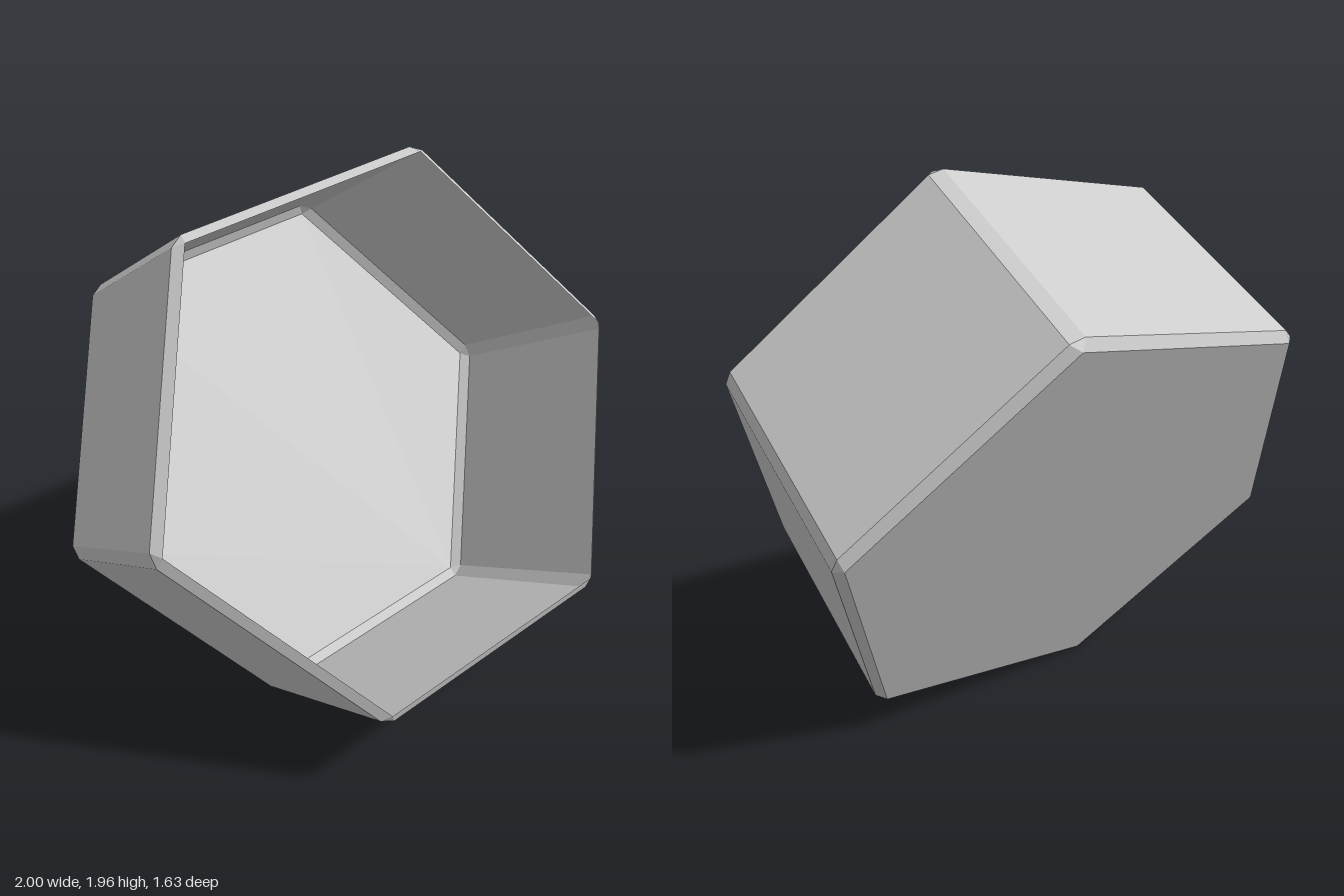
import * as THREE from 'three';

const R = 0.955; // hexagon corner radius
const H = 0.435; // half depth
const C = 0.03; // bevel width

// Flat-faced geometry from convex polygons
function polygonGeometry(polygons) {
  const points = [];
  for (const p of polygons) {
    for (let i = 1; i < p.length - 1; i++) points.push(p[0], p[i], p[i + 1]);
  }
  const geometry = new THREE.BufferGeometry().setFromPoints(points);
  geometry.computeVertexNormals();
  return geometry;
}

// Point given along and across the direction of corner i, at depth z
function cornerPoint(i, along, across, z) {
  const t = (i * Math.PI) / 3;
  return new THREE.Vector3(
    along * Math.cos(t) - across * Math.sin(t),
    along * Math.sin(t) + across * Math.cos(t),
    z
  );
}

export function createModel() {
  const grey = new THREE.MeshStandardMaterial({ color: 0xcccccc });
  grey.name = 'light grey';
  grey.side = THREE.DoubleSide;
  grey.flatShading = true;

  const capPoint = (i, s) => cornerPoint(i, R - C / Math.cos(Math.PI / 6), 0, s * H);
  const sidePoint = (i, side, s) =>
    cornerPoint(i, R - C / 2, side * C * Math.cos(Math.PI / 6), s * (H - C));

  const walls = [], corners = [], rim = [], floorBevel = [], floor = [];
  for (let i = 0; i < 6; i++) {
    const j = i + 1;
    // Wide wall panel and the narrow bevel at its corner
    walls.push([sidePoint(i, 1, -1), sidePoint(j, -1, -1), sidePoint(j, -1, 1), sidePoint(i, 1, 1)]);
    corners.push([sidePoint(i, -1, -1), sidePoint(i, 1, -1), sidePoint(i, 1, 1), sidePoint(i, -1, 1)]);
    // Sloping bevels with corner triangles at the open and closed ends
    rim.push(
      [sidePoint(i, 1, 1), sidePoint(j, -1, 1), capPoint(j, 1), capPoint(i, 1)],
      [sidePoint(i, -1, 1), sidePoint(i, 1, 1), capPoint(i, 1)]
    );
    floorBevel.push(
      [capPoint(i, -1), capPoint(j, -1), sidePoint(j, -1, -1), sidePoint(i, 1, -1)],
      [capPoint(i, -1), sidePoint(i, 1, -1), sidePoint(i, -1, -1)]
    );
    floor.unshift(capPoint(i, -1));
  }

  const cup = new THREE.Group();
  cup.name = 'hexagonalCup';
  const parts = { walls, cornerBevels: corners, rim, floorBevel, floor: [floor] };
  for (const [name, polygons] of Object.entries(parts)) {
    const mesh = new THREE.Mesh(polygonGeometry(polygons), grey);
    mesh.name = name;
    cup.add(mesh);
  }

  // Tilt the cup so its opening faces forward and up
  const axis = new THREE.Vector3(-0.194, 0.448, 0.872).normalize();
  const up = axis.clone().cross(new THREE.Vector3(0.978, 0.159, 0.135)).normalize();
  const across = up.clone().cross(axis);
  cup.setRotationFromMatrix(new THREE.Matrix4().makeBasis(across, up, axis));
  cup.position.y = 0.98;

  const model = new THREE.Group();
  model.name = 'model';
  model.add(cup);
  return model;
}
